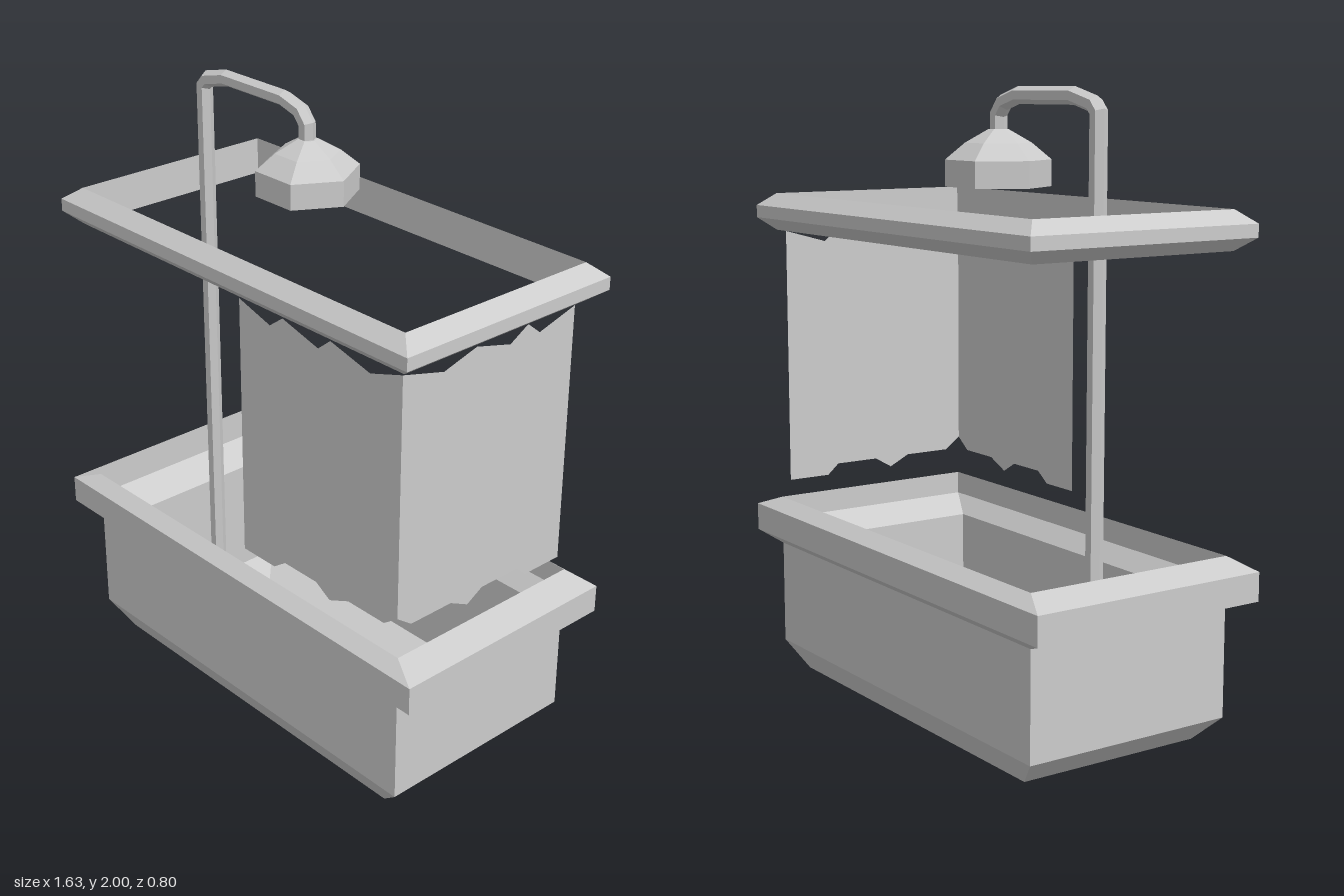
import * as THREE from 'three';

const material = new THREE.MeshStandardMaterial({ color: 0xcccccc, flatShading: true });
const clothMaterial = new THREE.MeshStandardMaterial({ color: 0xcccccc, flatShading: true, side: THREE.DoubleSide });

// Skins a list of rings of points; closed joins the last ring to the first
function loft(rings, closed = false) {
  const pos = [];
  const count = rings[0].length;
  const last = closed ? rings.length : rings.length - 1;
  for (let i = 0; i < last; i++) {
    const low = rings[i], high = rings[(i + 1) % rings.length];
    for (let j = 0; j < count; j++) {
      const k = (j + 1) % count;
      for (const p of [low[j], low[k], high[k], low[j], high[k], high[j]]) pos.push(...p);
    }
  }
  const geometry = new THREE.BufferGeometry();
  geometry.setAttribute('position', new THREE.Float32BufferAttribute(pos, 3));
  geometry.computeVertexNormals();
  return geometry;
}

// Rectangle of half width hx and half depth hz at height y
const rect = ([hx, hz, y]) => [[hx, y, hz], [hx, y, -hz], [-hx, y, -hz], [-hx, y, hz]];

// Six-sided pipe with mitred joints along a path in the XY plane
function pipe(path, radius, z) {
  const pts = path.map(([x, y]) => new THREE.Vector2(x, y));
  const rings = pts.map((p, i) => {
    const before = p.clone().sub(pts[Math.max(i - 1, 0)]).normalize();
    const after = pts[Math.min(i + 1, pts.length - 1)].clone().sub(p).normalize();
    const t = before.clone().add(after).normalize();
    const miter = 1 / Math.max(t.dot(before), t.dot(after));
    return Array.from({ length: 6 }, (_, k) => {
      const a = k * Math.PI / 3;
      const n = Math.cos(a) * radius * miter;
      return [p.x + t.y * n, p.y - t.x * n, z - Math.sin(a) * radius];
    });
  });
  return loft(rings);
}

function sheet(points) {
  return new THREE.ShapeGeometry(new THREE.Shape(points.map(([x, y]) => new THREE.Vector2(x, y))));
}

export function createModel() {
  const model = new THREE.Group();
  model.name = 'showerBath';
  const add = (name, geometry, mat = material) => {
    const mesh = new THREE.Mesh(geometry, mat);
    mesh.name = name;
    model.add(mesh);
    return mesh;
  };

  // Tub: up the outside, over the rim, down the inside to the floor
  add('tub', loft([
    [0, 0, 0], [0.52, 0.21, 0], [0.63, 0.31, 0.05], [0.72, 0.355, 0.135],
    [0.72, 0.355, 0.475], [0.815, 0.4, 0.51], [0.815, 0.4, 0.6],
    [0.72, 0.355, 0.635], [0.72, 0.355, 0.56], [0.62, 0.31, 0.505],
    [0.62, 0.31, 0.11], [0.52, 0.21, 0.06], [0, 0, 0.06],
  ].map(rect)));

  // Rectangular curtain rail with bevelled outer edges
  add('curtainRail', loft([
    [0.72, 0.355, 1.535], [0.775, 0.4, 1.575], [0.775, 0.4, 1.615], [0.72, 0.355, 1.655],
  ].map(rect), true));

  // Riser pipe curving over to the shower head
  add('showerPipe', pipe([
    [-0.607, 0.08], [-0.607, 1.93], [-0.587, 1.952], [-0.495, 1.975], [-0.225, 1.975],
    [-0.15, 1.954], [-0.122, 1.92], [-0.122, 1.86],
  ], 0.026, -0.05));

  // Six-sided shower head
  const headProfile = [[0, 1.705], [0.16, 1.705], [0.16, 1.785], [0.1, 1.835], [0.03, 1.875], [0, 1.875]];
  const head = add('showerHead', new THREE.LatheGeometry(
    headProfile.map(([r, y]) => new THREE.Vector2(r, y)), 6, Math.PI / 2));
  head.position.set(-0.12, 0, -0.05);

  // Front curtain, drawn across half the width
  add('frontCurtain', sheet([
    [0.04, 1.53], [0.175, 1.49], [0.23, 1.53], [0.38, 1.49], [0.43, 1.53], [0.59, 1.49], [0.715, 1.53],
    [0.715, 0.765], [0.66, 0.725], [0.51, 0.725], [0.43, 0.69], [0.37, 0.725], [0.23, 0.725], [0.18, 0.69], [0.04, 0.69],
  ]), clothMaterial).position.z = 0.355;

  // End curtain; its outline runs from the front corner towards the back
  const side = add('sideCurtain', sheet([
    [-0.355, 1.53], [-0.2, 1.49], [-0.075, 1.525], [0.06, 1.49], [0.13, 1.53], [0.18, 1.49], [0.325, 1.53],
    [0.325, 0.69], [0.18, 0.69], [0.14, 0.725], [-0.01, 0.725], [-0.07, 0.69], [-0.14, 0.725], [-0.3, 0.725], [-0.355, 0.765],
  ]), clothMaterial);
  side.rotation.y = Math.PI / 2;
  side.position.x = 0.715;

  return model;
}
